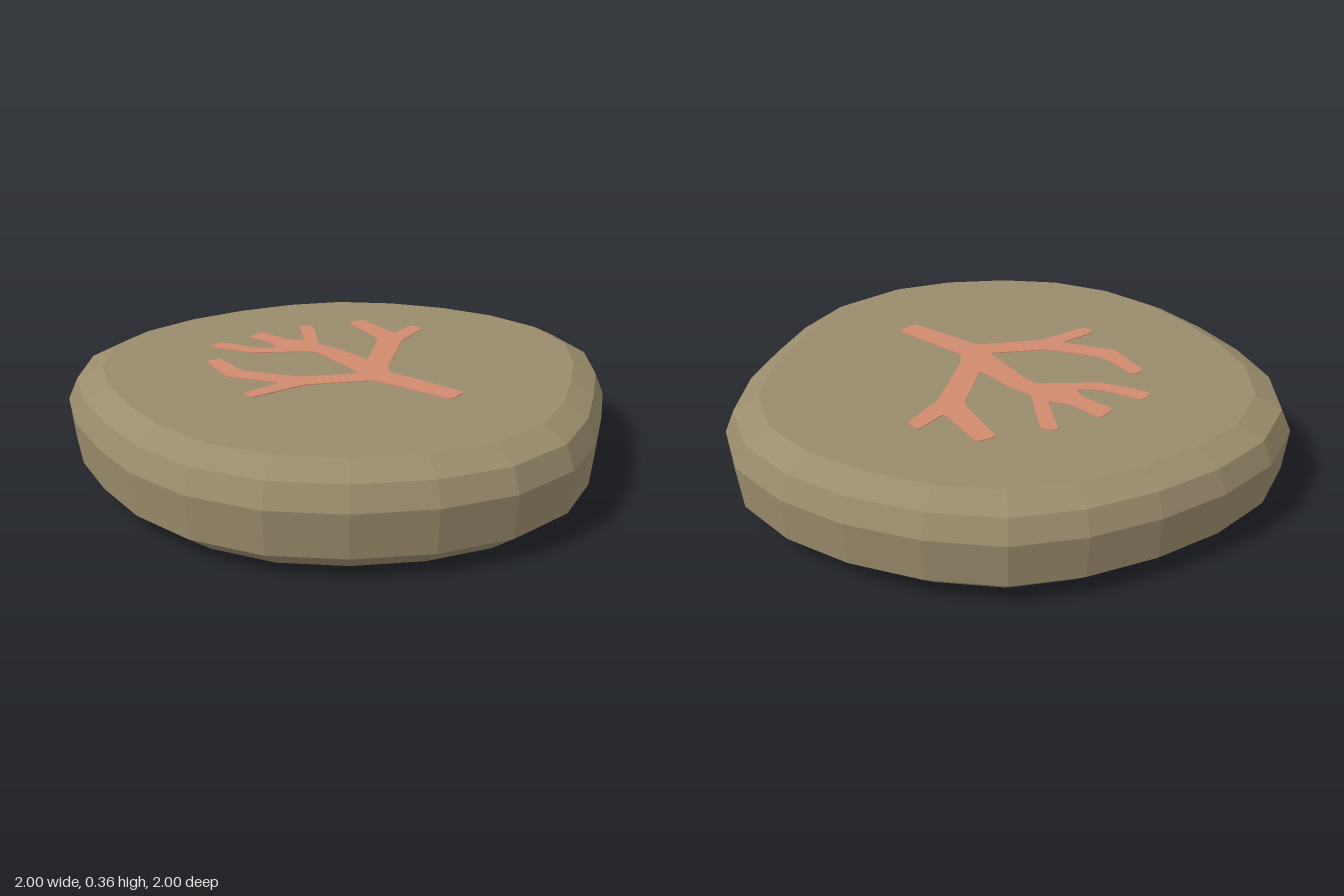
import * as THREE from 'three';

// Rim of the stone as [x, z], at its widest level
const RIM = [
  [-0.295, -1], [-0.03, -1], [0.225, -0.945], [0.465, -0.85], [0.675, -0.71], [0.835, -0.5],
  [0.945, -0.26], [1, -0.01], [0.985, 0.255], [0.865, 0.5], [0.665, 0.68], [0.445, 0.81],
  [0.225, 0.925], [-0.02, 1], [-0.29, 0.98], [-0.53, 0.87], [-0.74, 0.7], [-0.9, 0.495],
  [-0.99, 0.245], [-1, -0.01], [-0.95, -0.26], [-0.87, -0.5], [-0.745, -0.73], [-0.545, -0.915],
];
// Cross-section as [height, scale of the rim], bottom to top
const LEVELS = [[0, 0.88], [0.08, 0.985], [0.235, 1], [0.315, 0.965], [0.36, 0.875]];

// Outline of the branching inlay as [x, z]
const BRANCH = [
  [-0.05, 0.52], [0.04, 0.51], [0.02, 0.175], [0.075, 0.125], [0.34, -0.04], [0.525, -0.09],
  [0.53, -0.15], [0.395, -0.13], [0.45, -0.345], [0.38, -0.37], [0.295, -0.125], [0.07, 0.025],
  [0.09, -0.14], [0.08, -0.24], [0.24, -0.435], [0.205, -0.485], [0.075, -0.315], [0.04, -0.39],
  [0.043, -0.525], [-0.043, -0.515], [-0.035, -0.39], [-0.06, -0.325], [-0.12, -0.385],
  [-0.165, -0.545], [-0.23, -0.53], [-0.17, -0.355], [0, -0.195], [0, -0.14], [-0.065, 0.11],
  [-0.24, -0.02], [-0.335, -0.22], [-0.3, -0.39], [-0.355, -0.4], [-0.42, -0.21], [-0.33, -0.02],
  [-0.495, -0.04], [-0.505, 0.015], [-0.285, 0.055], [-0.085, 0.2],
];

function stoneGeometry() {
  const n = RIM.length, pos = [], index = [];
  for (const [y, s] of LEVELS) for (const [x, z] of RIM) pos.push(x * s, y, z * s);
  const bottom = n * LEVELS.length, top = bottom + 1;
  const last = n * (LEVELS.length - 1);
  pos.push(0, 0, 0, 0, LEVELS.at(-1)[0], 0);
  for (let i = 0; i < n; i++) {
    const j = (i + 1) % n;
    for (let a = 0; a < last; a += n) {
      index.push(a + i, a + n + i, a + j, a + j, a + n + i, a + n + j);
    }
    index.push(bottom, i, j, top, last + j, last + i);
  }
  const indexed = new THREE.BufferGeometry();
  indexed.setAttribute('position', new THREE.Float32BufferAttribute(pos, 3));
  indexed.setIndex(index);
  const flat = indexed.toNonIndexed();
  flat.computeVertexNormals();
  return flat;
}

// Closed shape whose corners are rounded off by r
function roundedShape(points, r) {
  const pts = points.map(([x, z]) => new THREE.Vector2(x, -z));
  const shape = new THREE.Shape();
  pts.forEach((p, i) => {
    const before = pts[(i + pts.length - 1) % pts.length], after = pts[(i + 1) % pts.length];
    const toward = (q) => p.clone().lerp(q, Math.min(r / p.distanceTo(q), 0.45));
    const a = toward(before), b = toward(after);
    if (i === 0) shape.moveTo(a.x, a.y); else shape.lineTo(a.x, a.y);
    shape.quadraticCurveTo(p.x, p.y, b.x, b.y);
  });
  shape.closePath();
  return shape;
}

export function createModel() {
  const stoneMat = new THREE.MeshStandardMaterial({ color: 0x9a8c6c });
  stoneMat.name = 'stone';
  const coralMat = new THREE.MeshStandardMaterial({ color: 0xd08a6e });
  coralMat.name = 'coral';

  // Faceted pebble body
  const stone = new THREE.Mesh(stoneGeometry(), stoneMat);
  stone.name = 'stone';

  // Thin branching inlay on the top face
  const geo = new THREE.ExtrudeGeometry(roundedShape(BRANCH, 0.02), {
    depth: 0.005, bevelEnabled: false, curveSegments: 4,
  });
  geo.rotateX(-Math.PI / 2);
  const inlay = new THREE.Mesh(geo, coralMat);
  inlay.name = 'branchInlay';
  inlay.position.y = 0.358;

  const model = new THREE.Group();
  model.name = 'carvedPebble';
  model.add(stone, inlay);
  return model;
}
